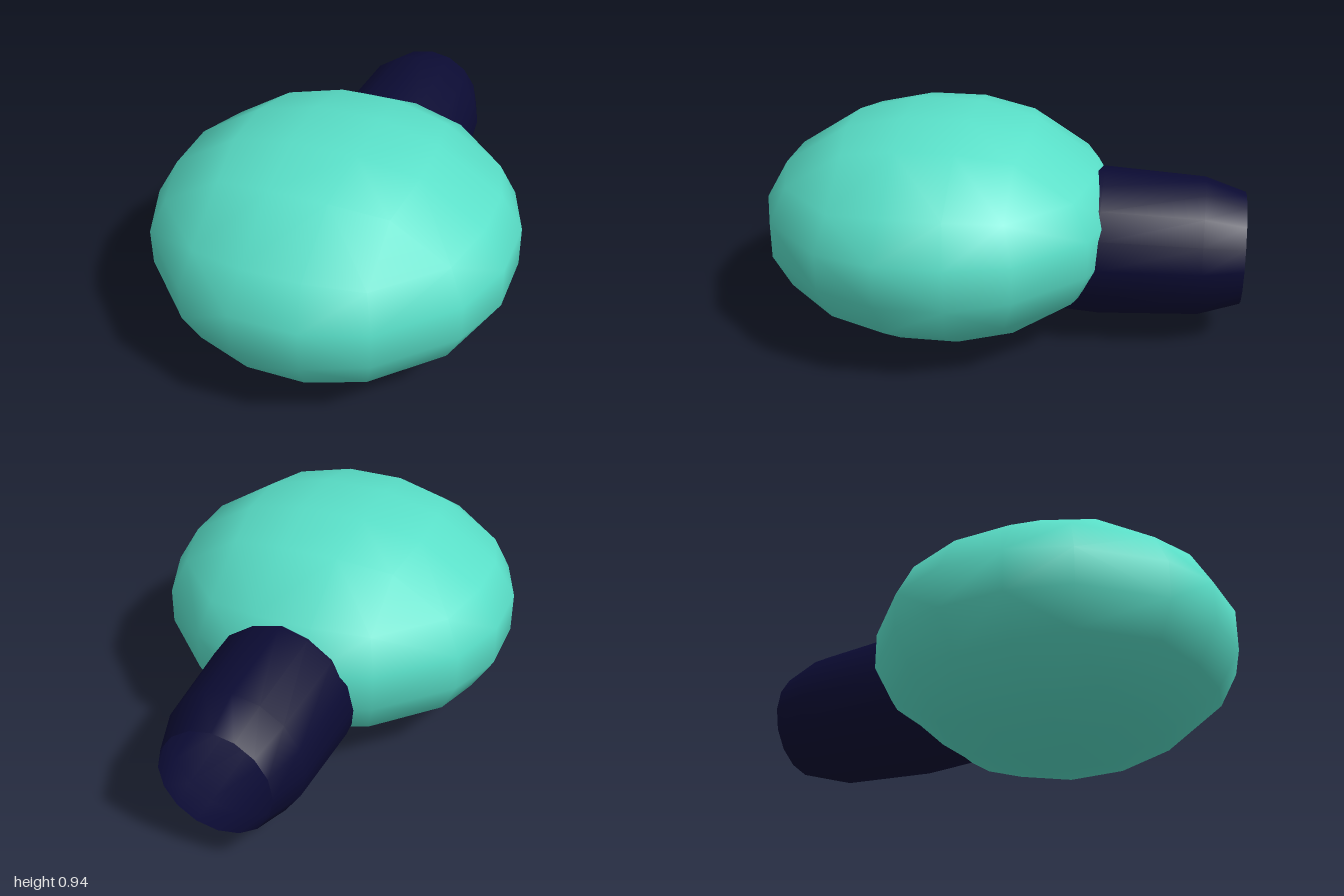
import * as THREE from 'three';
import { ConvexGeometry } from 'three/addons/geometries/ConvexGeometry.js';

// Flattened low-poly ball: a 4 x 4 grid of points on each of six sides, bevelled between sides
function ballGeometry(rx, ry, rz) {
  const steps = [-30.6, -10.5, 10.5, 30.6].map((d) => Math.tan(THREE.MathUtils.degToRad(d)));
  const points = [];
  for (const side of [-1, 1]) {
    for (const a of steps) {
      for (const b of steps) {
        for (const p of [[side, a, b], [a, side, b], [a, b, side]]) {
          points.push(new THREE.Vector3(...p).normalize());
        }
      }
    }
  }
  const geometry = new ConvexGeometry(points);
  // Radial normals give smooth shading
  geometry.setAttribute('normal', geometry.attributes.position.clone());
  return geometry.scale(rx, ry, rz);
}

export function createModel() {
  const model = new THREE.Group();

  const body = new THREE.Mesh(
    ballGeometry(0.76, 0.484, 0.76),
    new THREE.MeshStandardMaterial({ color: 0x59dfc8 })
  );
  body.name = 'body';
  body.position.set(0, 0.468, 0.265);
  model.add(body);

  // Open barrel-shaped tube running out of the back
  const profile = [[0.235, -0.585], [0.29, -0.415], [0.313, 0], [0.29, 0.415], [0.235, 0.585]]
    .map(([r, y]) => new THREE.Vector2(r, y));
  const tube = new THREE.Mesh(
    new THREE.LatheGeometry(profile, 16).rotateX(Math.PI / 2),
    new THREE.MeshStandardMaterial({ color: 0x0b0b33, side: THREE.DoubleSide })
  );
  tube.name = 'rearTube';
  tube.position.set(0, 0.387, -0.415);
  model.add(tube);

  return model;
}
